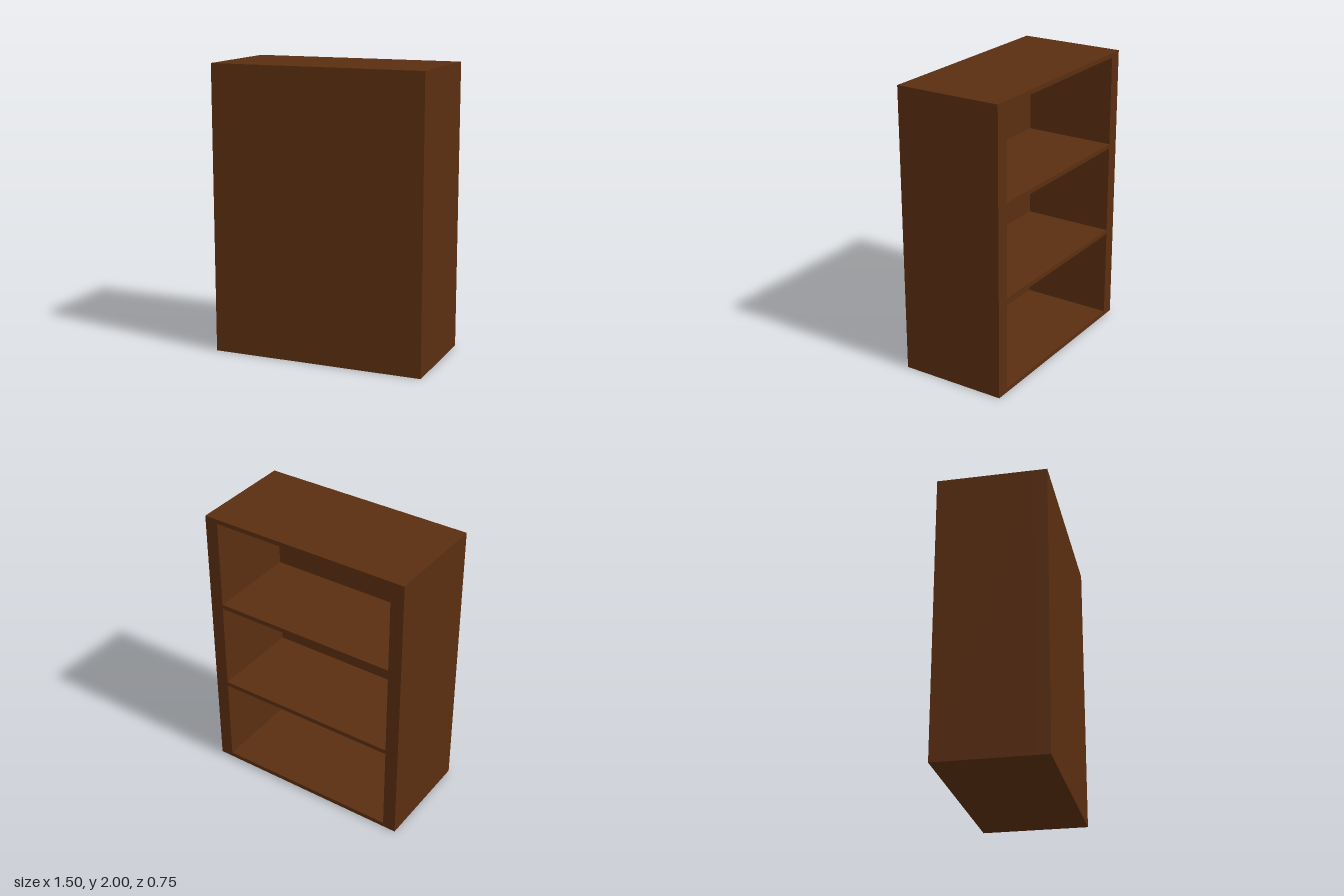
import * as THREE from 'three';

const W = 1.5, H = 2, D = 0.75;
const SIDE = 0.094;    // side wall and front panel thickness
const BOARD = 0.03125; // shelf thickness
const BAYS = 3;

// Traces an axis-aligned rectangle on a shape or hole path
function rect(path, x0, y0, x1, y1) {
  path.moveTo(x0, y0);
  path.lineTo(x1, y0);
  path.lineTo(x1, y1);
  path.lineTo(x0, y1);
  path.closePath();
  return path;
}

export function createModel() {
  const group = new THREE.Group();
  group.name = 'bookcase';
  const wood = new THREE.MeshStandardMaterial({ color: 0x5a2e10 });
  wood.name = 'dark brown wood';

  // Frame: sides, top, bottom and shelves, with three bays open to the back
  const outline = rect(new THREE.Shape(), -W / 2, 0, W / 2, H);
  const bay = (H - BOARD * (BAYS + 1)) / BAYS;
  for (let i = 0; i < BAYS; i++) {
    const y = BOARD + i * (bay + BOARD);
    outline.holes.push(rect(new THREE.Path(), -W / 2 + SIDE, y, W / 2 - SIDE, y + bay));
  }
  const frame = new THREE.Mesh(
    new THREE.ExtrudeGeometry(outline, { depth: D - SIDE, bevelEnabled: false }), wood);
  frame.position.z = -D / 2;
  frame.name = 'shelfFrame';
  group.add(frame);

  // Solid panel closing the front side
  const panel = new THREE.Mesh(new THREE.BoxGeometry(W, H, SIDE), wood);
  panel.position.set(0, H / 2, D / 2 - SIDE / 2);
  panel.name = 'frontPanel';
  group.add(panel);

  return group;
}
